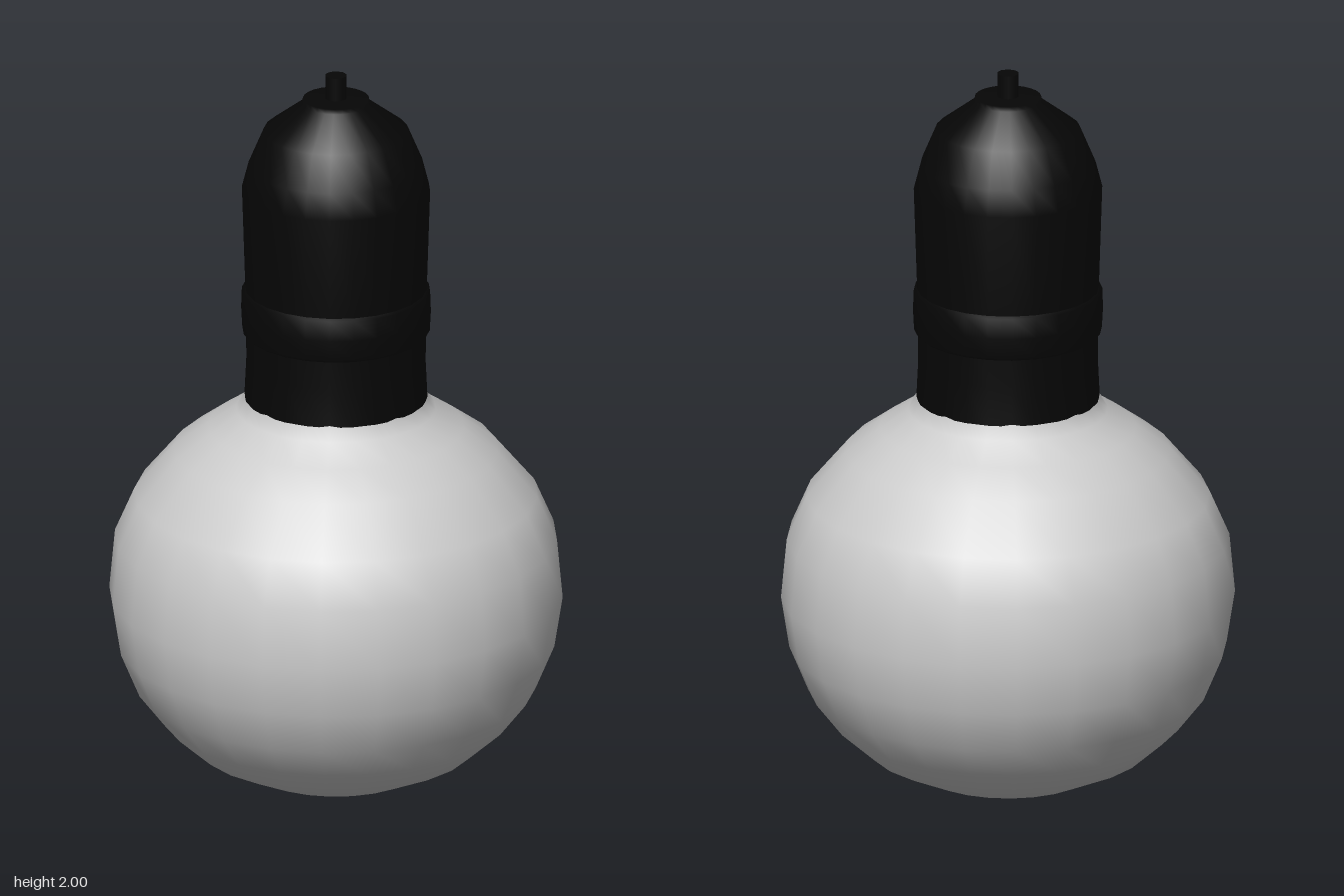
import * as THREE from 'three';

const black = new THREE.MeshStandardMaterial({ color: 0x060606, side: THREE.DoubleSide });
const grey = new THREE.MeshStandardMaterial({ color: 0xcccccc, side: THREE.DoubleSide });

// Turned part from [radius, height] pairs, listed from the bottom up
function turned(name, profile, sides, material) {
  const points = profile.map(([r, y]) => new THREE.Vector2(r, y));
  const mesh = new THREE.Mesh(new THREE.LatheGeometry(points, sides), material);
  mesh.name = name;
  return mesh;
}

export function createModel() {
  const model = new THREE.Group();
  model.name = 'lightBulb';

  // Round glass with a short neck that ends inside the socket
  model.add(turned('glassBulb', [
    [0, 0], [0.1, 0.012], [0.23, 0.045], [0.37, 0.11], [0.46, 0.19], [0.53, 0.28],
    [0.58, 0.4], [0.602, 0.54], [0.587, 0.7], [0.535, 0.82], [0.43, 0.945],
    [0.34, 1.01], [0.265, 1.06], [0.238, 1.1], [0.23, 1.16],
  ], 24, grey));

  // Socket shell with a domed shoulder and slightly uneven lower rim
  const socket = turned('socket', [
    [0.243, 1.09], [0.238, 1.2], [0.241, 1.4], [0.25, 1.68], [0.232, 1.75],
    [0.192, 1.845], [0.09, 1.922], [0.088, 1.935], [0, 1.937],
  ], 24, black);
  const pos = socket.geometry.attributes.position;
  for (let i = 0; i < pos.count; i++) {
    if (pos.getY(i) < 1.1) {
      const angle = Math.atan2(pos.getX(i), pos.getZ(i));
      pos.setY(i, 1.09 + 0.008 * Math.cos(angle * 8));
    }
  }
  model.add(socket);

  // Raised band around the socket
  model.add(turned('socketBand', [
    [0.238, 1.275], [0.249, 1.285], [0.252, 1.34], [0.25, 1.395], [0.238, 1.402],
  ], 24, black));

  // Cable stub on top
  const cable = new THREE.Mesh(new THREE.CylinderGeometry(0.029, 0.029, 0.08, 10), black);
  cable.name = 'cableStub';
  cable.position.y = 1.96;
  model.add(cable);

  return model;
}
